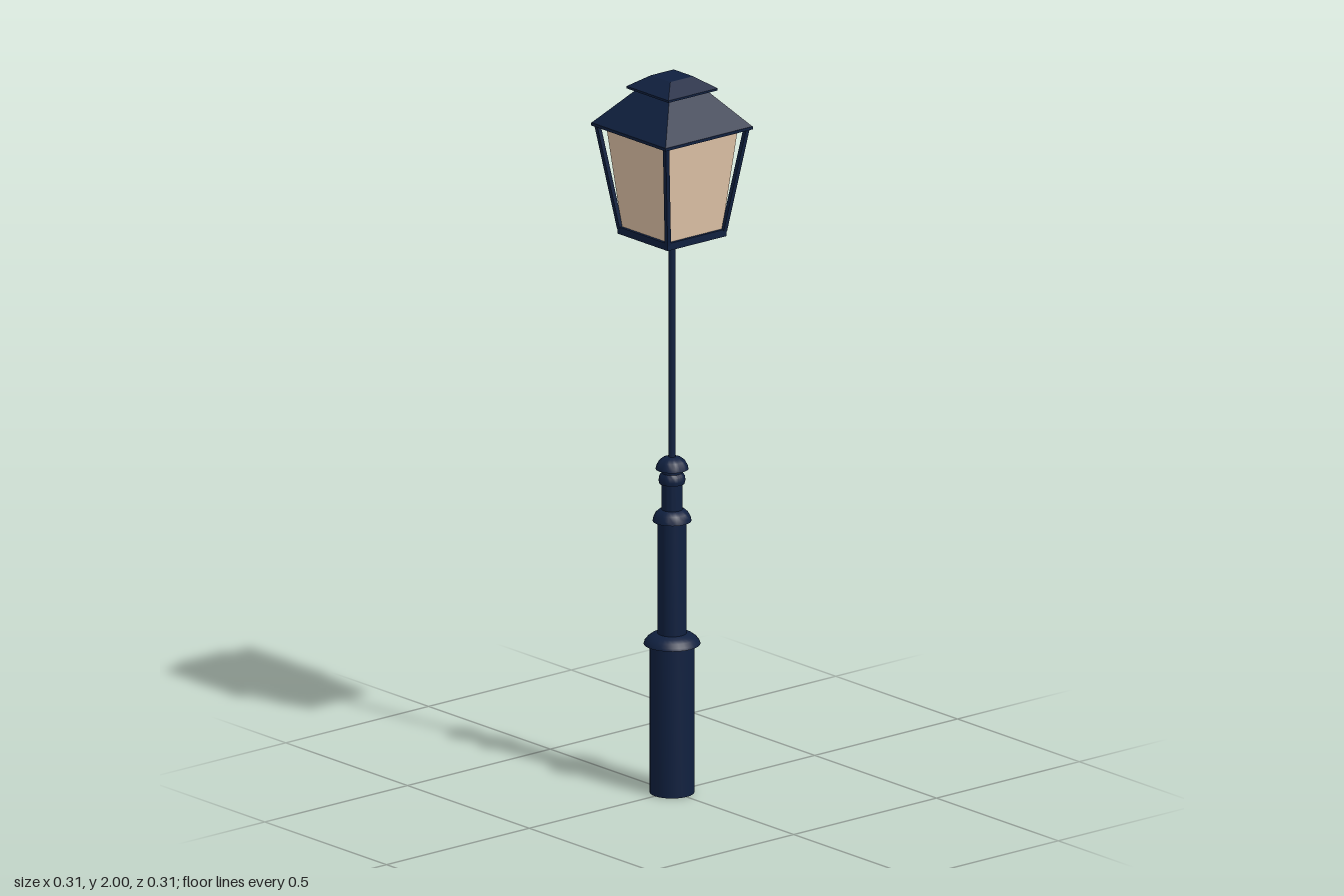
import * as THREE from 'three';
import { toCreasedNormals } from 'three/addons/utils/BufferGeometryUtils.js';

const metal = new THREE.MeshStandardMaterial({ color: 0x10203f });
const glass = new THREE.MeshStandardMaterial({ color: 0xe0c4a8 });

function add(parent, name, geometry, material = metal) {
  const mesh = new THREE.Mesh(geometry, material);
  mesh.name = name;
  parent.add(mesh);
  return mesh;
}

// Turned part from [radius, height] points, listed bottom to top
function turned(points) {
  const lathe = new THREE.LatheGeometry(points.map(([r, y]) => new THREE.Vector2(r, y)), 28);
  return toCreasedNormals(lathe, 0.6);
}

// Square frustum given half widths and heights
function frustum(halfBottom, halfTop, y0, y1) {
  const g = new THREE.CylinderGeometry(halfTop * Math.SQRT2, halfBottom * Math.SQRT2, y1 - y0, 4)
    .rotateY(Math.PI / 4).translate(0, (y0 + y1) / 2, 0);
  return toCreasedNormals(g, 0.3);
}

export function createModel() {
  const lamp = new THREE.Group();
  lamp.name = 'streetLamp';

  // Stepped column with rounded collars
  add(lamp, 'baseColumn', turned([[0, 0], [0.06, 0], [0.06, 0.42], [0, 0.42]]));
  add(lamp, 'lowerCollar', turned([[0, 0.415], [0.076, 0.415], [0.074, 0.422], [0.066, 0.432], [0.055, 0.44], [0.038, 0.445], [0, 0.445]]));
  add(lamp, 'middleColumn', turned([[0.039, 0.43], [0.039, 0.77], [0, 0.77]]));
  add(lamp, 'middleCollar', turned([[0, 0.758], [0.052, 0.758], [0.05, 0.768], [0.044, 0.78], [0.035, 0.788], [0.026, 0.791], [0, 0.791]]));
  add(lamp, 'neck', turned([[0.028, 0.78], [0.028, 0.91], [0, 0.91]]));
  add(lamp, 'neckRing', turned([[0, 0.863], [0.034, 0.863], [0.036, 0.872], [0.034, 0.884], [0.028, 0.892], [0, 0.892]]));
  add(lamp, 'columnCap', turned([[0, 0.903], [0.044, 0.903], [0.042, 0.912], [0.035, 0.925], [0.025, 0.933], [0.01, 0.937], [0, 0.937]]));
  add(lamp, 'pole', new THREE.CylinderGeometry(0.01, 0.01, 0.66, 16).translate(0, 1.24, 0));

  // Lantern
  const lantern = new THREE.Group();
  lantern.name = 'lantern';
  lamp.add(lantern);
  add(lantern, 'lanternFloor', new THREE.BoxGeometry(0.207, 0.02, 0.207).translate(0, 1.566, 0));
  add(lantern, 'glassPanes', frustum(0.095, 0.125, 1.574, 1.862), glass);

  // Sloping corner bars
  const up = new THREE.Vector3(0, 1, 0);
  for (const sx of [-1, 1]) for (const sz of [-1, 1]) {
    const a = new THREE.Vector3(sx * 0.098, 1.57, sz * 0.098);
    const b = new THREE.Vector3(sx * 0.142, 1.865, sz * 0.142);
    const bar = add(lantern, 'cornerBar', new THREE.BoxGeometry(0.012, a.distanceTo(b), 0.012));
    bar.position.copy(a).add(b).multiplyScalar(0.5);
    bar.quaternion.setFromUnitVectors(up, b.sub(a).normalize());
  }

  // Two-tier roof
  add(lantern, 'eave', new THREE.BoxGeometry(0.306, 0.008, 0.306).translate(0, 1.86, 0));
  add(lantern, 'roof', frustum(0.152, 0.065, 1.864, 1.962));
  add(lantern, 'roofCapRim', new THREE.BoxGeometry(0.172, 0.006, 0.172).translate(0, 1.965, 0));
  add(lantern, 'roofCap', frustum(0.086, 0.04, 1.968, 2));

  return lamp;
}
